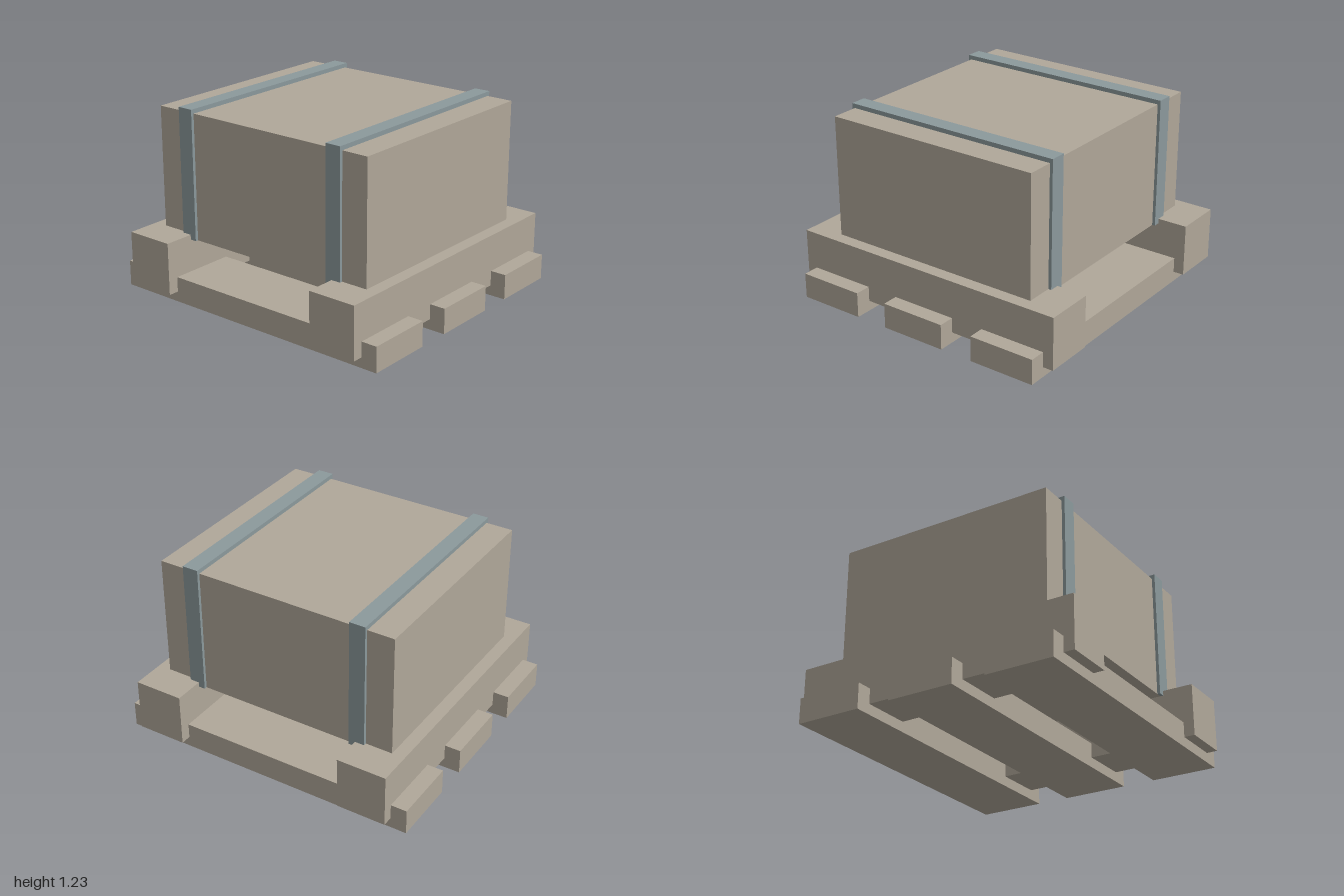
import * as THREE from 'three';

export function createModel() {
  const model = new THREE.Group();
  const wood = new THREE.MeshStandardMaterial({ name: 'wood', color: 0xb0a799 });
  const steel = new THREE.MeshStandardMaterial({ name: 'strapSteel', color: 0x8b999c });

  // Box of a given size, with its underside at y
  const addBox = (name, w, h, d, x, y, z) => {
    const mesh = new THREE.Mesh(new THREE.BoxGeometry(w, h, d), wood);
    mesh.name = name;
    mesh.position.set(x, y + h / 2, z);
    model.add(mesh);
  };

  // Three base slats running across
  ['backSlat', 'middleSlat', 'frontSlat'].forEach((name, i) =>
    addBox(name, 2, 0.165, 0.44, 0, 0, (i - 1) * 0.66));

  // Two bearers notched over the slats
  addBox('leftBearer', 0.325, 0.342, 1.9, 0.732, 0.067, 0);
  addBox('rightBearer', 0.325, 0.342, 1.9, -0.732, 0.067, 0);

  // Crate
  addBox('crate', 1.62, 0.823, 1.46, 0, 0.377, 0);

  // Strap outline: down the front, over the top, down the back
  const outline = new THREE.Shape([
    [-0.75, 0.377], [-0.73, 0.377], [-0.73, 1.2], [0.73, 1.2],
    [0.73, 0.377], [0.75, 0.377], [0.75, 1.228], [-0.75, 1.228],
  ].map(([z, y]) => new THREE.Vector2(z, y)));
  const strapGeometry = new THREE.ExtrudeGeometry(outline, { depth: 0.106, bevelEnabled: false });
  strapGeometry.translate(0, 0, -0.053).rotateY(Math.PI / 2);

  for (const [name, x] of [['leftStrap', 0.579], ['rightStrap', -0.579]]) {
    const strap = new THREE.Mesh(strapGeometry, steel);
    strap.name = name;
    strap.position.x = x;
    model.add(strap);
  }
  return model;
}
